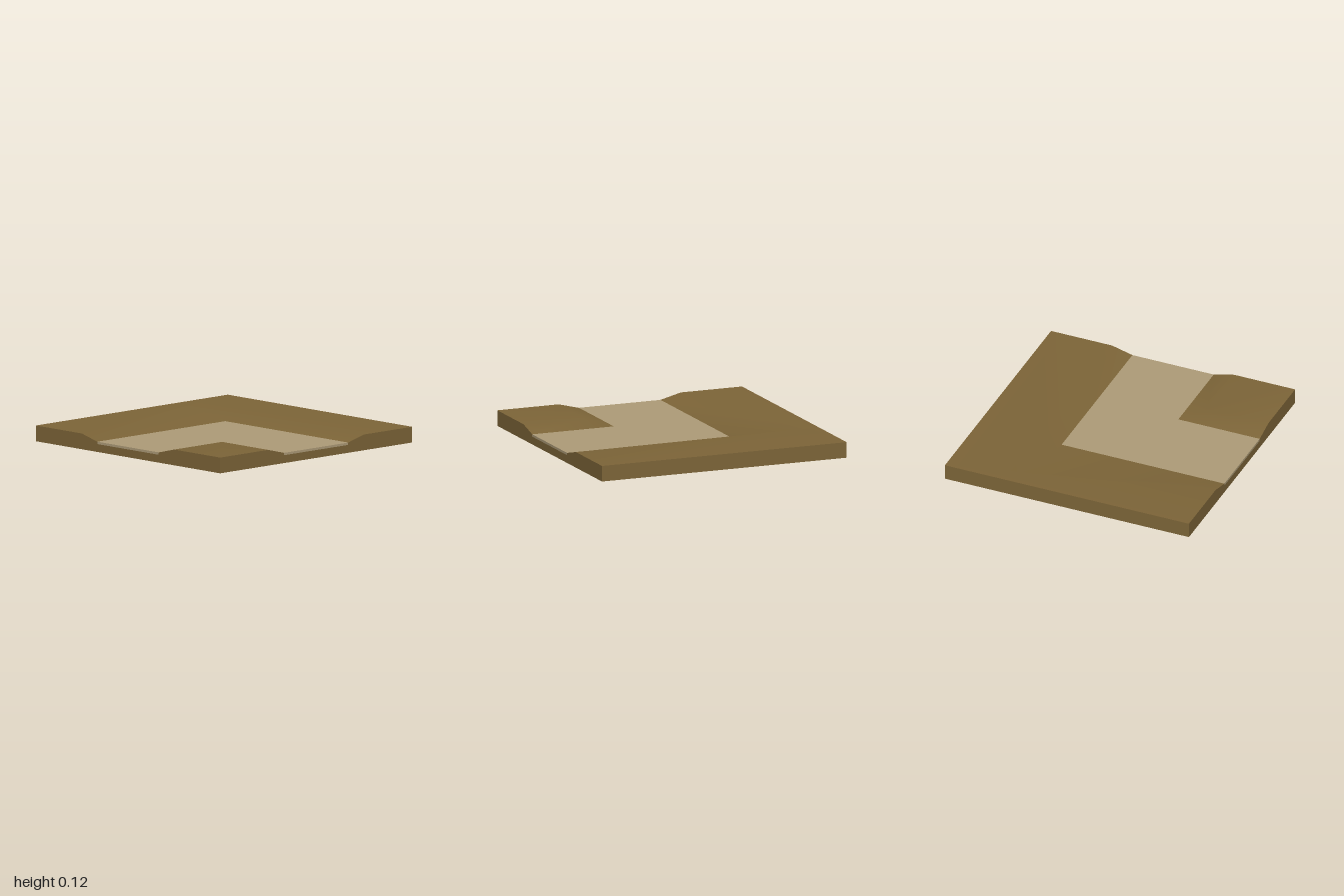
import * as THREE from 'three';

const TOP = 0.12, PATH = 0.078, BED = 0.06, W = 1 / 3, S = 0.5;

// Surface between successive rows of [x, z] points, each row at its own height
function bank(rows, heights) {
  const n = rows[0].length, pos = [], index = [];
  rows.forEach((row, r) => row.forEach(([x, z]) => pos.push(x, heights[r], z)));
  for (let r = 0; r < rows.length - 1; r++) {
    for (let i = 0; i < n - 1; i++) {
      const a = r * n + i, b = a + n;
      index.push(a, a + 1, b + 1, a, b + 1, b);
    }
  }
  const g = new THREE.BufferGeometry();
  g.setAttribute('position', new THREE.Float32BufferAttribute(pos, 3));
  g.setIndex(index);
  g.computeVertexNormals();
  return g;
}

const outline = (pts) => new THREE.Shape(pts.map(([x, y]) => new THREE.Vector2(x, y)));

export function createModel() {
  const model = new THREE.Group();
  const earth = new THREE.MeshStandardMaterial({ color: 0x7d6538 });
  const sand = new THREE.MeshStandardMaterial({ color: 0xae9c78 });
  const add = (name, geometry, material) => {
    const mesh = new THREE.Mesh(geometry, material);
    mesh.name = name;
    model.add(mesh);
    return mesh;
  };

  // Ground outside the bend: path edge, top of the slope, tile rim
  add('outerGround', bank([
    [[-W, 1], [-W, -W], [1, -W]],
    [[-S, 1], [-0.93, -0.47], [1, -S]],
    [[-1, 1], [-1, -1], [1, -1]],
  ], [PATH, TOP, TOP]), earth);

  // Ground inside the bend, closing on the tile corner
  add('innerGround', bank([
    [[1, W], [W, W], [W, 1]],
    [[1, S], [S, S], [S, 1]],
    [[1, 1], [1, 1], [1, 1]],
  ], [PATH, TOP, TOP]), earth);

  // Side walls: the two path ends are notched, the other two are plain
  const notched = outline([[-1, 0], [1, 0], [1, TOP], [S, TOP], [W, PATH], [W, BED],
    [-W, BED], [-W, PATH], [-S, TOP], [-1, TOP]]);
  const plain = outline([[-1, 0], [1, 0], [1, TOP], [-1, TOP]]);
  [['frontWall', notched], ['leftWall', notched], ['backWall', plain], ['rightWall', plain]]
    .forEach(([name, shape], i) => {
      const g = new THREE.ShapeGeometry(shape);
      g.translate(0, 0, 1).rotateY(i * Math.PI / 2);
      add(name, g, earth);
    });

  add('underside', new THREE.PlaneGeometry(2, 2).rotateX(Math.PI / 2), earth);

  // Bent path slab, drawn in plan with shape y = -z
  const bend = outline([[-W, -1], [W, -1], [W, -W], [1, -W], [1, W], [-W, W]]);
  const slab = new THREE.ExtrudeGeometry(bend, { depth: PATH - BED, bevelEnabled: false });
  slab.rotateX(-Math.PI / 2).translate(0, BED, 0);
  add('path', slab, sand);

  return model;
}
